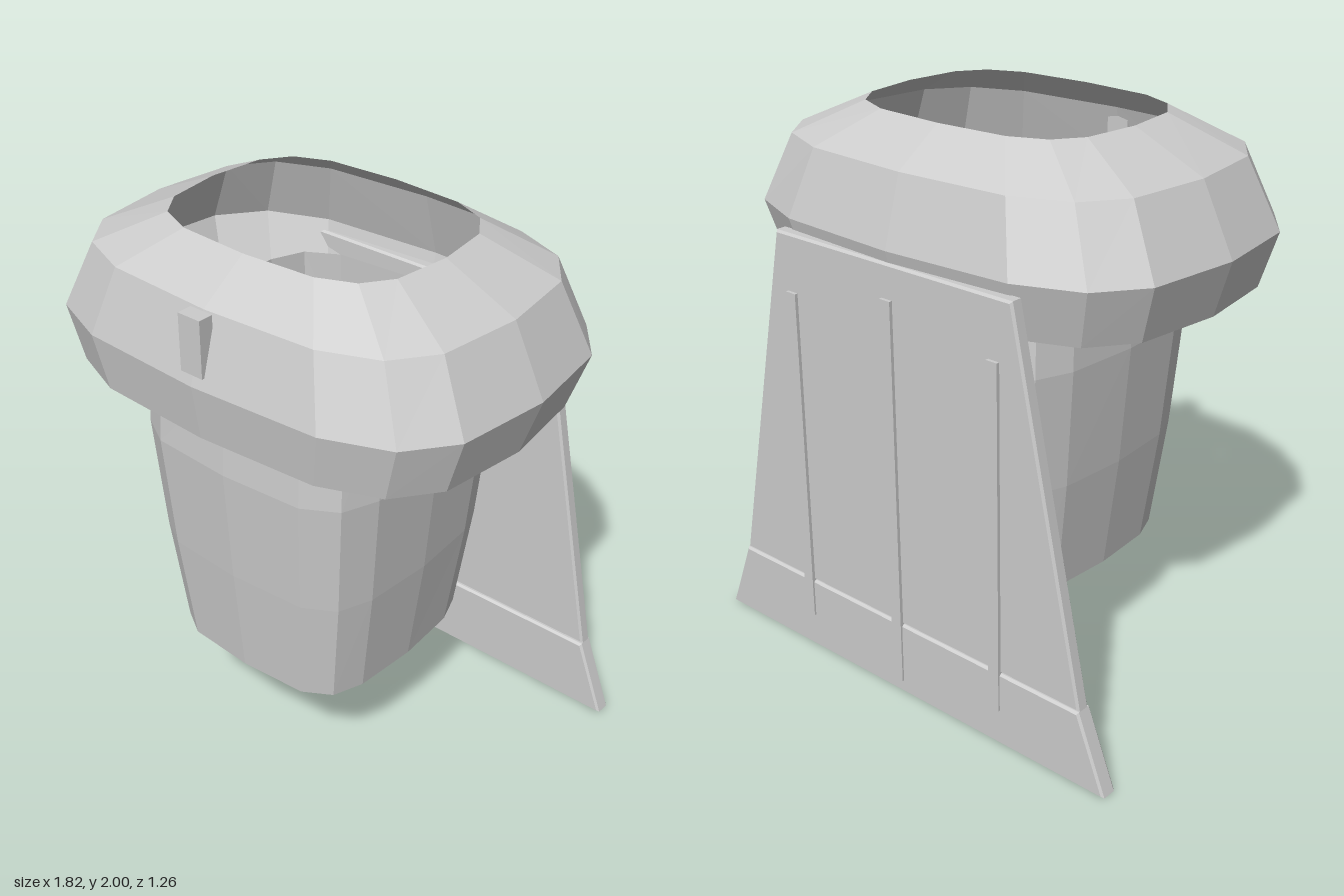
import * as THREE from 'three';

const shellMat = new THREE.MeshStandardMaterial({ color: 0xcccccc, flatShading: true, side: THREE.DoubleSide });
const solidMat = new THREE.MeshStandardMaterial({ color: 0xcccccc, flatShading: true });

// Sixteen-sided rounded-rectangle outline, from one unit quadrant (front to left side)
function outline(quadrant) {
  const back = quadrant.slice(0, -1).reverse().map(([x, z]) => [x, -z]);
  const half = [...quadrant, ...back];
  const other = half.slice(1, -1).reverse().map(([x, z]) => [-x, z]);
  return [...half, ...other];
}

// Open shell through rings given as [y, halfWidth, halfDepth, zOffset], bottom to top
function loft(name, rings, quadrant) {
  const section = outline(quadrant), n = section.length;
  const pos = [], idx = [];
  for (const [y, w, d, z0] of rings) {
    for (const [x, z] of section) pos.push(x * w, y, z * d + z0);
  }
  for (let r = 0; r < rings.length - 1; r++) {
    for (let i = 0; i < n; i++) {
      const a = r * n + i, b = r * n + (i + 1) % n;
      idx.push(a, b, b + n, a, b + n, a + n);
    }
  }
  const geo = new THREE.BufferGeometry();
  geo.setAttribute('position', new THREE.Float32BufferAttribute(pos, 3));
  geo.setIndex(idx);
  geo.computeVertexNormals();
  const mesh = new THREE.Mesh(geo, shellMat);
  mesh.name = name;
  return mesh;
}

// Symmetric trapezoid panel with slightly bevelled edges
function panel(name, y0, w0, y1, w1, zBack, zFront) {
  const bevel = 0.008;
  const shape = new THREE.Shape([
    new THREE.Vector2(-w0, y0), new THREE.Vector2(w0, y0),
    new THREE.Vector2(w1, y1), new THREE.Vector2(-w1, y1),
  ]);
  const geo = new THREE.ExtrudeGeometry(shape, {
    depth: zFront - zBack - 2 * bevel, bevelEnabled: true, bevelSegments: 1,
    bevelThickness: bevel, bevelSize: bevel, bevelOffset: -bevel,
  });
  geo.translate(0, 0, zBack + bevel);
  const mesh = new THREE.Mesh(geo, solidMat);
  mesh.name = name;
  return mesh;
}

function box(name, w, y0, y1, z0, z1, x = 0) {
  const mesh = new THREE.Mesh(new THREE.BoxGeometry(w, y1 - y0, z1 - z0), solidMat);
  mesh.position.set(x, (y0 + y1) / 2, (z0 + z1) / 2);
  mesh.name = name;
  return mesh;
}

export function createModel() {
  const group = new THREE.Group();
  group.name = 'collarAndBackPanel';

  // Wide faceted collar, open at the top and underneath
  group.add(loft('collar', [
    [1.44, 0.81, 0.585, 0.015],
    [1.64, 0.875, 0.625, 0.005],
    [1.88, 0.755, 0.555, 0.005],
    [2.0, 0.49, 0.377, 0.005],
  ], [[0, 1], [0.55, 0.955], [0.81, 0.81], [0.95, 0.55], [1, 0]]));

  // Tapered tube hanging below the collar
  group.add(loft('body', [
    [0.4, 0.41, 0.43, 0.01],
    [0.82, 0.465, 0.47, 0.01],
    [1.25, 0.5, 0.5, 0.01],
    [1.6, 0.49, 0.48, 0.01],
  ], [[0, 1], [0.62, 0.96], [0.86, 0.82], [0.96, 0.56], [1, 0]]));

  // Small clip on the front of the collar
  group.add(box('frontClip', 0.09, 1.68, 1.88, 0.57, 0.625));

  // Back panel: tall upper part and flared hem
  group.add(panel('backPanel', 0.28, 0.8, 1.6, 0.52, -0.62, -0.568));
  group.add(panel('backPanelHem', 0, 0.91, 0.28, 0.8, -0.625, -0.56));

  // Vertical ribs on the back panel, the middle one longest
  for (const x of [-0.45, 0, 0.45]) {
    const trim = x === 0 ? 0 : 0.085;
    group.add(box('backRib', 0.045, 0.05 + trim, 1.48 - trim, -0.632, -0.6, x));
  }
  return group;
}
